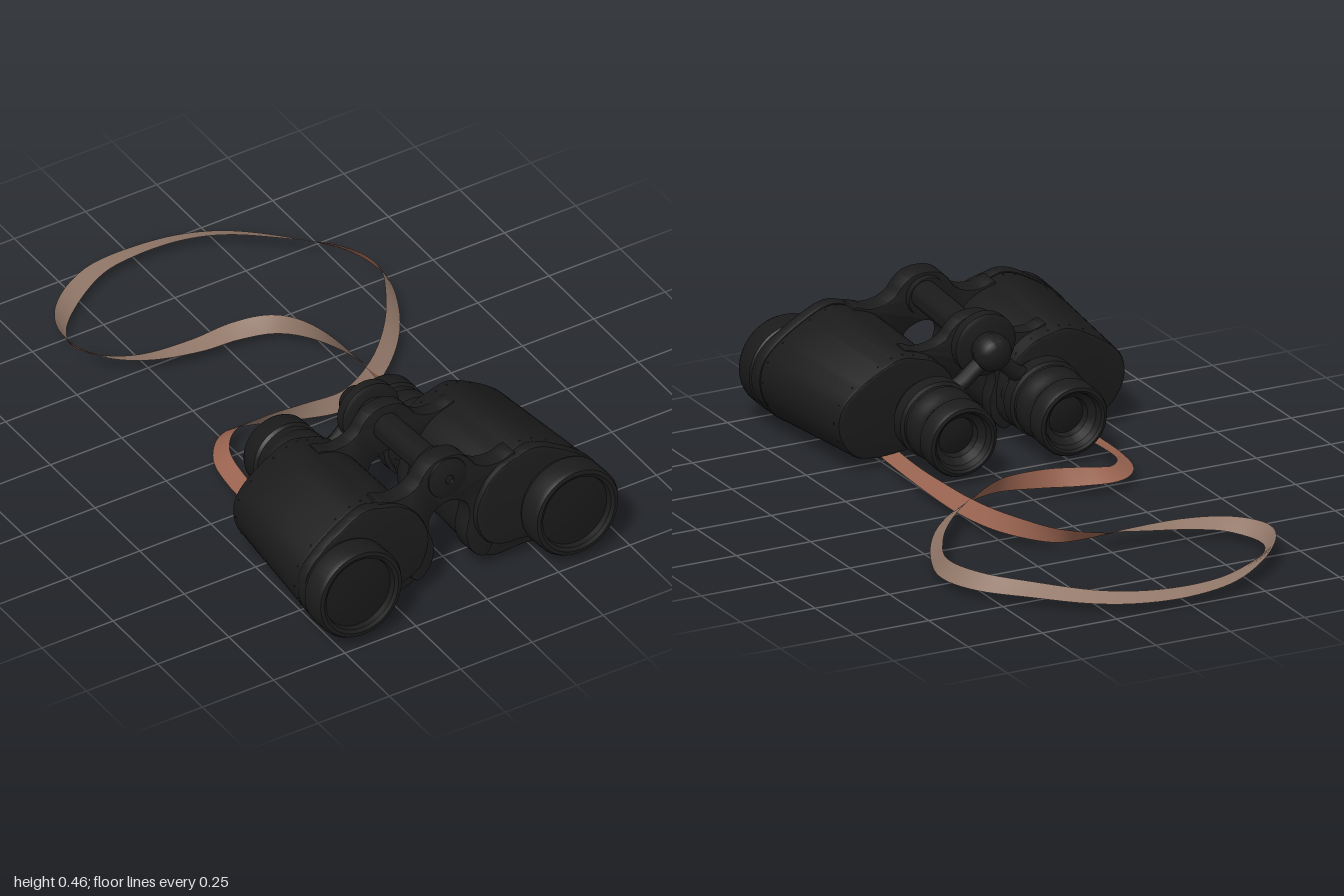
import * as THREE from 'three';
import { toCreasedNormals } from 'three/addons/utils/BufferGeometryUtils.js';

const mat = (name, color) => {
  const m = new THREE.MeshStandardMaterial({ color });
  m.name = name;
  return m;
};

export function createModel() {
  const black = mat('black leatherette', 0x1b1b1b);
  const lensMat = mat('dark glass', 0x181818);
  const leather = mat('brown leather', 0x9a6450);
  const suede = mat('grey-brown suede', 0x927869);

  const model = new THREE.Group();
  model.name = 'binoculars';
  const PIVOT = 0.65;
  const body = new THREE.Group(); // tilted so the front points slightly up
  body.name = 'binocularBody';
  body.position.set(-0.053, 0, PIVOT);
  body.rotation.x = -0.08;
  model.add(body);

  const add = (parent, name, geo, material, x = 0, y = 0, z = 0) => {
    const m = new THREE.Mesh(geo, material);
    m.name = name;
    m.position.set(x, y, z);
    parent.add(m);
    return m;
  };
  // smooth closed outline through a few points
  const outline = (pts, s = 1, n = 72) =>
    new THREE.CatmullRomCurve3(pts.map(([u, y]) => new THREE.Vector3(s * u, y, 0)), true)
      .getPoints(n).slice(0, n).map((p) => new THREE.Vector2(p.x, p.y));
  const slab = (pts, z0, z1, bevel) => {
    const g = new THREE.ExtrudeGeometry(new THREE.Shape(pts), {
      depth: z1 - z0 - 2 * bevel, steps: 1, bevelEnabled: true,
      bevelThickness: bevel, bevelSize: bevel, bevelOffset: -bevel, bevelSegments: 2,
    });
    g.translate(0, 0, z0 + bevel - PIVOT);
    return g;
  };
  // turned part along z, profile given as [radius, z]
  const turned = (profile, seg = 48) => {
    const g = new THREE.LatheGeometry(profile.map(([r, z]) => new THREE.Vector2(r, z - PIVOT)), seg);
    g.rotateX(Math.PI / 2);
    return toCreasedNormals(g, 0.6);
  };

  const housing = [[0.523, 0.16], [0.508, 0.225], [0.46, 0.28], [0.37, 0.34], [0.32, 0.364], [0.28, 0.37],
    [0.24, 0.36], [0.18, 0.34], [0.125, 0.295], [0.09, 0.23], [0.078, 0.15], [0.085, 0.08], [0.115, 0.035],
    [0.17, 0.015], [0.26, 0.018], [0.37, 0.008], [0.45, 0.025], [0.505, 0.09]];
  const cover = [[0.525, 0.16], [0.51, 0.228], [0.46, 0.283], [0.37, 0.343], [0.32, 0.367], [0.28, 0.373],
    [0.24, 0.363], [0.18, 0.345], [0.12, 0.295], [0.085, 0.22], [0.088, 0.16], [0.12, 0.1], [0.18, 0.072],
    [0.25, 0.066], [0.31, 0.032], [0.38, 0.007], [0.45, 0.023], [0.507, 0.09]];
  const Z0 = 0.44, Z1 = 0.87;
  // narrows a housing point toward the eyepiece end
  const taper = (x, y, z, s) => {
    const t = (z - Z0) / (Z1 - Z0), edge = s * 0.078;
    return [edge + (x - edge) * THREE.MathUtils.lerp(0.91, 1, t), 0.37 + (y - 0.37) * THREE.MathUtils.lerp(0.87, 1, t)];
  };

  for (const s of [-1, 1]) {
    const half = new THREE.Group();
    half.name = s > 0 ? 'leftHalf' : 'rightHalf';
    body.add(half);

    // prism housing
    const shape = outline(housing, s);
    const g = slab(shape, Z0, Z1, 0.01);
    const p = g.attributes.position;
    for (let i = 0; i < p.count; i++) p.setXY(i, ...taper(p.getX(i), p.getY(i), p.getZ(i) + PIVOT, s));
    add(half, 'prismHousing', toCreasedNormals(g, 0.6), black);
    add(half, 'frontCover', toCreasedNormals(slab(outline(cover, s), 0.865, 0.91, 0.01), 0.6), black);

    // small rivets along both housing edges
    const rivet = new THREE.SphereGeometry(0.003, 6, 4);
    for (const z of [0.465, 0.85]) {
      for (let i = 0; i < shape.length; i += 4) {
        add(half, 'rivet', rivet, black, ...taper(shape[i].x, shape[i].y, z, s), z - PIVOT);
      }
    }

    // objective barrel with a recessed lens
    add(half, 'objectiveBarrel', turned([[0.13, 0.87], [0.144, 0.9], [0.144, 0.915], [0.149, 0.92], [0.149, 0.985],
      [0.142, 0.998], [0.13, 1.0], [0.119, 0.994], [0.115, 0.975]]), black, s * 0.38, 0.155);
    add(half, 'objectiveLens', turned([[0.117, 0.976], [0.08, 0.982], [0.04, 0.985], [0, 0.986]]),
      lensMat, s * 0.38, 0.155);

    // eyepiece with stepped rings and a hollow cup
    add(half, 'eyepiece', turned([[0.058, 0.262], [0.064, 0.24], [0.085, 0.225], [0.092, 0.205], [0.1, 0.2],
      [0.11, 0.203], [0.115, 0.213], [0.115, 0.268], [0.108, 0.278], [0.108, 0.3], [0.114, 0.31], [0.117, 0.355],
      [0.113, 0.362], [0.113, 0.372], [0.123, 0.378], [0.123, 0.42], [0.11, 0.425], [0.11, 0.46]]),
    black, s * 0.185, 0.18);
    add(half, 'eyepieceLens', turned([[0, 0.25], [0.035, 0.253], [0.06, 0.26]]), lensMat, s * 0.185, 0.18);

    // focusing arm from the centre to the eyepiece
    const arm = new THREE.CatmullRomCurve3([[0, 0.35], [0.05, 0.31], [0.09, 0.275], [0.14, 0.25]]
      .map(([u, y]) => new THREE.Vector3(s * u, y, 0.405 - PIVOT)));
    add(half, 'focusArm', new THREE.TubeGeometry(arm, 12, 0.026, 10), black);
  }

  // hinge bridges joining both halves, with lugs running down the inner sides
  const side = [[0.05, 0.431], [0.08, 0.405], [0.1, 0.378], [0.14, 0.357], [0.19, 0.354], [0.238, 0.367],
    [0.24, 0.3], [0.18, 0.15], [0.12, 0.045], [0.075, 0.075], [0.056, 0.14], [0.072, 0.215], [0.06, 0.255],
    [0.03, 0.275]];
  const bridge = [[0, 0.441], ...side, [0, 0.282], ...side.slice().reverse().map(([u, y]) => [-u, y])];
  for (const [name, z0, z1] of [['frontBridge', 0.82, 0.89], ['rearBridge', 0.495, 0.55]]) {
    add(body, name, toCreasedNormals(slab(outline(bridge, 1, 120), z0, z1, 0.005), 0.6), black);
  }

  // hinge shaft, front cap, focus wheel and rear knob
  const HY = 0.368;
  add(body, 'hingeShaft', turned([[0.045, 0.45], [0.045, 0.86]], 32), black, 0, HY);
  add(body, 'hingeCap', turned([[0.062, 0.8], [0.07, 0.885], [0.066, 0.893], [0.04, 0.901], [0.015, 0.904],
    [0.013, 0.9], [0, 0.9]], 32), black, 0, HY);
  add(body, 'focusWheel', turned([[0, 0.425], [0.088, 0.425], [0.1, 0.432], [0.1, 0.463], [0.088, 0.47],
    [0.06, 0.472], [0.06, 0.5]], 40), black, 0, HY);
  add(body, 'rearKnob', turned([[0, 0.345], [0.03, 0.347], [0.047, 0.357], [0.057, 0.375], [0.058, 0.4],
    [0.052, 0.415], [0.05, 0.435]], 32), black, 0, HY - 0.005);

  // strap: x, y, z, roll in degrees
  const path = [[-0.33, 0.035, 0.56, 12], [-0.342, 0.037, 0.44, 10], [-0.352, 0.038, 0.3, 12], [-0.35, 0.042, 0.15, 20],
    [-0.325, 0.048, 0.03, 30], [-0.25, 0.055, -0.045, 35], [-0.14, 0.062, -0.035, 58], [-0.02, 0.065, -0.003, 88],
    [0.12, 0.062, 0.012, 118], [0.27, 0.056, -0.065, 140], [0.4, 0.053, -0.185, 143], [0.5, 0.05, -0.33, 132],
    [0.561, 0.048, -0.49, 118], [0.523, 0.048, -0.64, 132], [0.41, 0.045, -0.77, 147], [0.28, 0.04, -0.89, 155],
    [0.15, 0.036, -0.952, 160], [0, 0.034, -0.971, 167], [-0.15, 0.038, -0.95, 180], [-0.29, 0.045, -0.87, 205],
    [-0.39, 0.05, -0.77, 232], [-0.415, 0.05, -0.67, 235], [-0.36, 0.048, -0.56, 212], [-0.25, 0.045, -0.495, 195],
    [-0.1, 0.045, -0.467, 172], [0.03, 0.05, -0.46, 147], [0.14, 0.055, -0.425, 115], [0.21, 0.06, -0.34, 88],
    [0.255, 0.058, -0.21, 62], [0.27, 0.052, -0.05, 42], [0.264, 0.044, 0.12, 24], [0.255, 0.038, 0.28, 12],
    [0.243, 0.036, 0.44, 10], [0.22, 0.03, 0.56, 10]];
  const line = new THREE.CatmullRomCurve3(path.map(([x, y, z]) => new THREE.Vector3(x, y, z)), false, 'catmullrom');
  const rolls = new THREE.CatmullRomCurve3(path.map((q) => new THREE.Vector3(q[3], 0, 0)), false, 'catmullrom');
  const up = new THREE.Vector3(0, 1, 0);
  // one face of the strap between two fractions of its length
  const ribbon = (flip, t0, t1) => {
    const pos = [], idx = [], n = Math.ceil(240 * (t1 - t0));
    for (let i = 0; i <= n; i++) {
      const f = t0 + (t1 - t0) * i / n;
      const c = line.getPoint(f), t = line.getTangent(f);
      const a = THREE.MathUtils.degToRad(rolls.getPoint(f).x);
      const r = new THREE.Vector3().crossVectors(t, up).normalize();
      const w = r.clone().multiplyScalar(Math.cos(a)).addScaledVector(up, Math.sin(a));
      const nrm = up.clone().multiplyScalar(Math.cos(a)).addScaledVector(r, -Math.sin(a));
      c.addScaledVector(nrm, flip ? -0.001 : 0.001);
      for (const k of [-0.029, 0.029]) pos.push(...c.clone().addScaledVector(w, k).toArray());
      if (i < n) {
        const b = 2 * i;
        idx.push(...(flip ? [b, b + 3, b + 1, b, b + 2, b + 3] : [b, b + 1, b + 3, b, b + 3, b + 2]));
      }
    }
    const g = new THREE.BufferGeometry();
    g.setAttribute('position', new THREE.Float32BufferAttribute(pos, 3));
    g.setIndex(idx);
    g.computeVertexNormals();
    return g;
  };
  const FOLD = 0.11;
  add(model, 'strapOuterFace', ribbon(false, 0, 1), leather);
  add(model, 'strapInnerFace', ribbon(true, FOLD, 1 - FOLD), suede);
  // the ends are folded back, so leather shows underneath as well
  add(model, 'strapFoldRight', ribbon(true, 0, FOLD), leather);
  add(model, 'strapFoldLeft', ribbon(true, 1 - FOLD, 1), leather);

  // folded strap ends under the housings
  for (const [x, y, roll] of [[-0.328, 0.039, 0.28], [0.22, 0.028, 0.03]]) {
    const tab = add(model, 'strapEnd', new THREE.BoxGeometry(0.056, 0.012, 0.058), leather, x, y, 0.55);
    tab.rotation.set(0.9, 0, roll);
  }
  return model;
}
